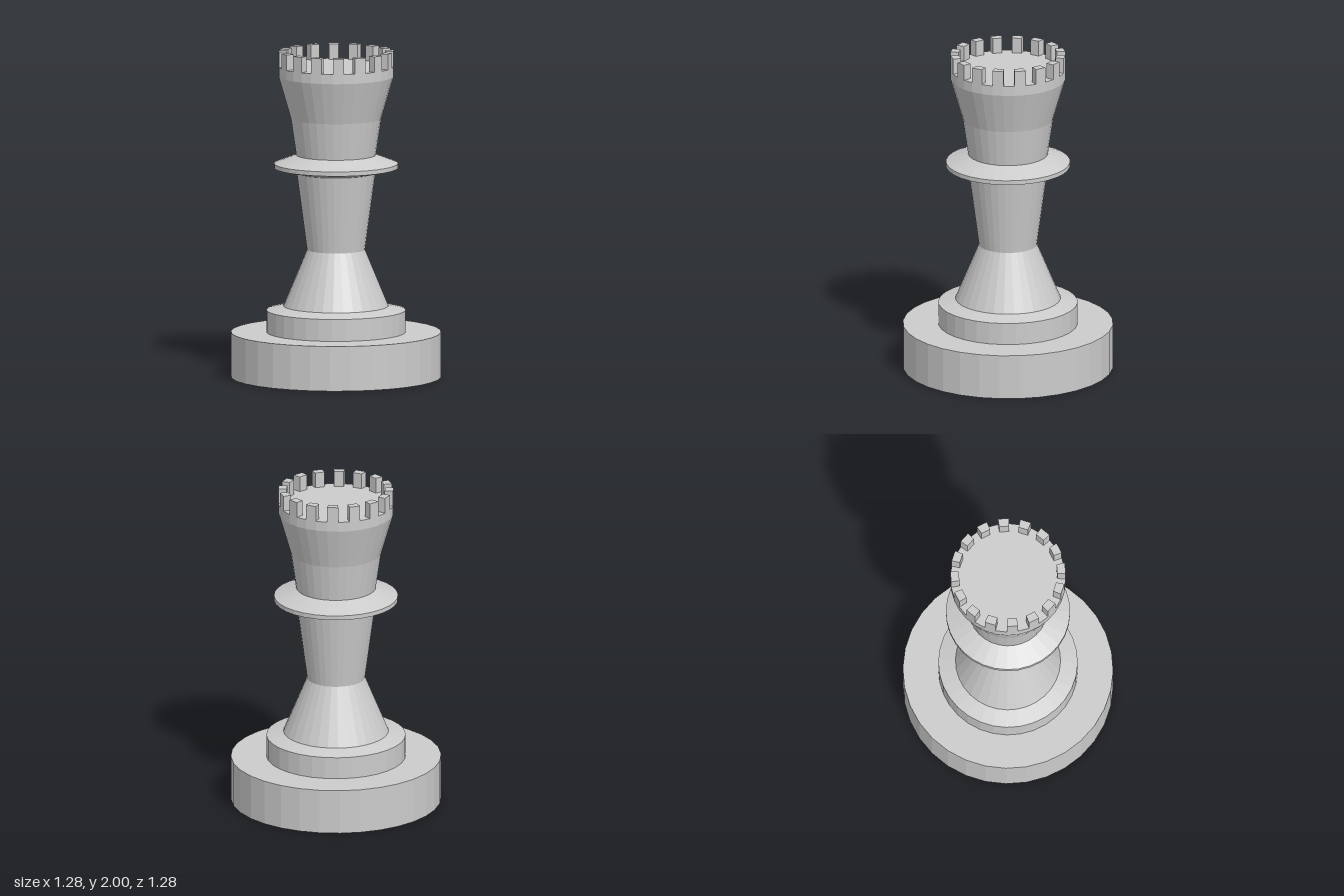
import * as THREE from 'three';

const SIDES = 32;
const material = new THREE.MeshStandardMaterial({ color: 0xcccccc, flatShading: true });

// Turned section from [radius, height] points, listed bottom to top
function turned(name, points) {
  const profile = points.map(([r, y]) => new THREE.Vector2(r, y));
  const mesh = new THREE.Mesh(new THREE.LatheGeometry(profile, SIDES), material);
  mesh.name = name;
  return mesh;
}

export function createModel() {
  const model = new THREE.Group();
  model.name = 'rook';

  // Sections meet edge to edge, forming one closed body
  model.add(
    turned('base', [[0, 0], [0.64, 0], [0.64, 0.275], [0.424, 0.275]]),
    turned('plinth', [[0.424, 0.275], [0.424, 0.41], [0.32, 0.435]]),
    turned('flare', [[0.32, 0.435], [0.177, 0.78]]),
    turned('stem', [[0.177, 0.78], [0.24, 1.252]]),
    turned('collar', [[0.24, 1.252], [0.378, 1.283], [0.378, 1.31], [0.243, 1.362]]),
    turned('neck', [[0.243, 1.362], [0.276, 1.588]]),
    turned('head', [[0.276, 1.588], [0.351, 1.845], [0.351, 1.905], [0, 1.905]])
  );

  // Battlements: one on every second facet of the head's rim
  const step = (Math.PI * 2) / SIDES;
  const outer = 0.351, inner = 0.3;
  const tooth = new THREE.Shape([
    new THREE.Vector2(inner, 0),
    new THREE.Vector2(outer, 0),
    new THREE.Vector2(outer * Math.cos(step), outer * Math.sin(step)),
    new THREE.Vector2(inner * Math.cos(step), inner * Math.sin(step)),
  ]);
  const toothGeometry = new THREE.ExtrudeGeometry(tooth, { depth: 0.095, bevelEnabled: false });
  toothGeometry.rotateX(-Math.PI / 2);

  const battlements = new THREE.Group();
  battlements.name = 'battlements';
  for (let i = 0; i < SIDES; i += 2) {
    const mesh = new THREE.Mesh(toothGeometry, material);
    mesh.name = 'battlement';
    mesh.position.y = 1.905;
    mesh.rotation.y = i * step;
    battlements.add(mesh);
  }
  model.add(battlements);

  return model;
}
